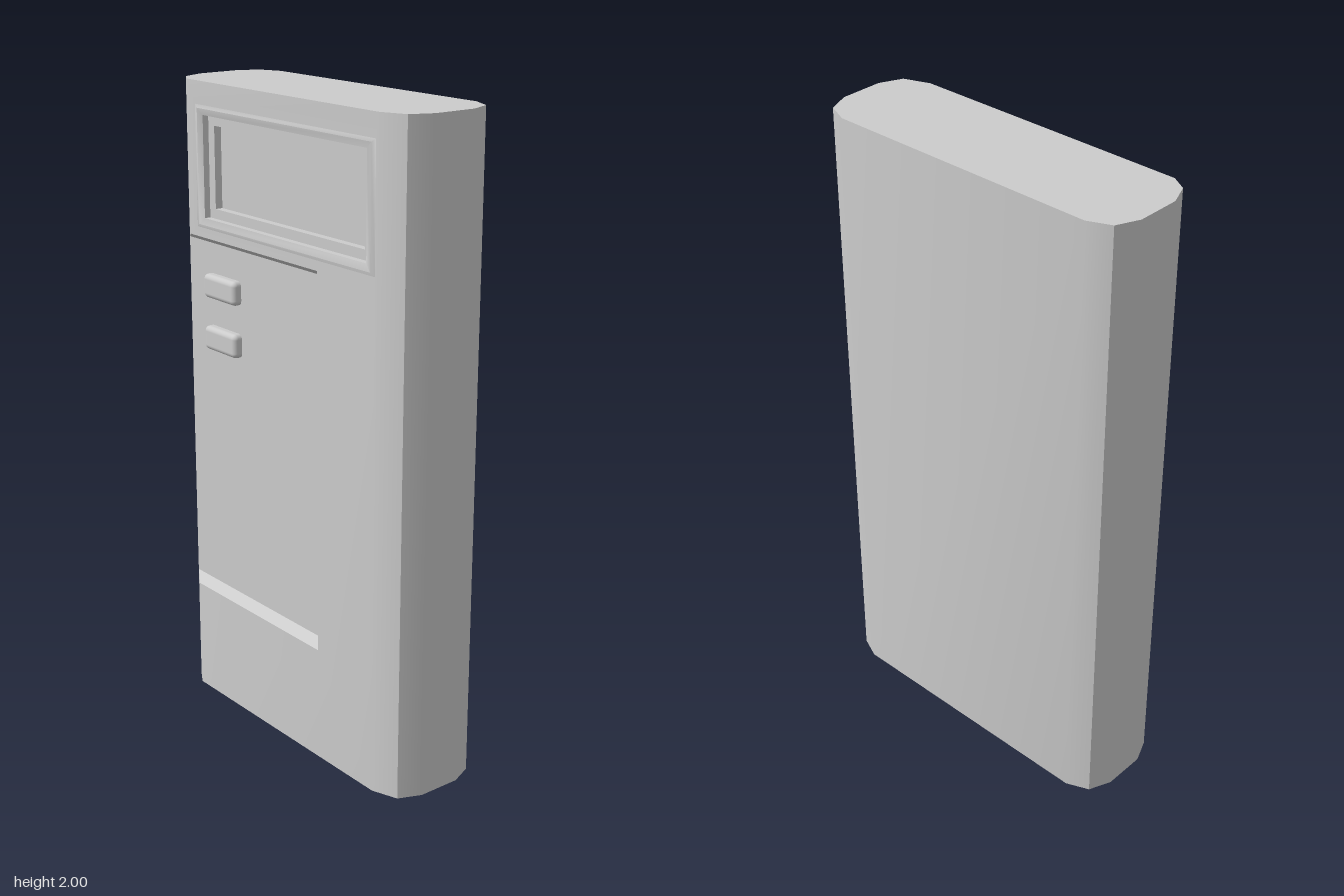
import * as THREE from 'three';
import { mergeGeometries, toCreasedNormals } from 'three/addons/utils/BufferGeometryUtils.js';
import { RoundedBoxGeometry } from 'three/addons/geometries/RoundedBoxGeometry.js';

const H = 2, FRONT = 0.165, FLOOR = 0.135;
const material = new THREE.MeshStandardMaterial({ color: 0xcccccc });

// Four corners each, counter-clockwise seen from outside
function quads(list) {
  const pos = [];
  for (const [a, b, c, d] of list) pos.push(...a, ...b, ...c, ...a, ...c, ...d);
  const g = new THREE.BufferGeometry();
  g.setAttribute('position', new THREE.Float32BufferAttribute(pos, 3));
  return g;
}

function flat(points, hole) {
  const toVectors = (pts) => pts.map(([x, y]) => new THREE.Vector2(x, y));
  const shape = new THREE.Shape(toVectors(points));
  if (hole) shape.holes.push(new THREE.Path(toVectors(hole)));
  const g = new THREE.ShapeGeometry(shape).toNonIndexed();
  g.deleteAttribute('uv');
  g.deleteAttribute('normal');
  return g;
}

const rect = (x0, x1, y0, y1) => [[x0, y0], [x1, y0], [x1, y1], [x0, y1]];

function addMesh(group, geometry, name) {
  const mesh = new THREE.Mesh(geometry, material);
  mesh.name = name;
  group.add(mesh);
  return mesh;
}

export function createModel() {
  const group = new THREE.Group();
  group.name = 'handheldDevice';

  // Horizontal section (x, z), from the front right round the back to the front left
  const section = [
    [0.43, FRONT], [0.51, FLOOR], [0.54, 0.065], [0.54, -0.07], [0.51, -0.14], [0.44, -0.17],
    [-0.44, -0.17], [-0.51, -0.14], [-0.54, -0.07], [-0.54, 0.065], [-0.51, FLOOR],
  ];
  const walls = [];
  for (let i = 0; i < section.length - 1; i++) {
    const [ax, az] = section[i], [bx, bz] = section[i + 1];
    walls.push([[ax, 0, az], [bx, 0, bz], [bx, H, bz], [ax, H, az]]);
  }

  // Chamfer beside the front face, interrupted by the open panel recess
  const panel = { x: 0.17, xIn: 0.14, y0: 0.36, y0In: 0.385, y1: 1.53, y1In: 1.51 };
  const L = -0.46, E = -0.51;
  walls.push(
    [[E, 0, FLOOR], [L, 0, FRONT], [L, panel.y0, FRONT], [E, panel.y0In, FLOOR]],
    [[E, panel.y1In, FLOOR], [L, panel.y1, FRONT], [L, H, FRONT], [E, H, FLOOR]],
  );

  // Front face with a notch for the panel and a hole for the display
  const front = flat([
    [L, 0], [0.43, 0], [0.43, H], [L, H],
    [L, panel.y1], [panel.x, panel.y1], [panel.x, panel.y0], [L, panel.y0],
  ], rect(-0.42, 0.42, 1.56, 1.93)).translate(0, 0, FRONT);

  // End caps
  const outline = [...section, [L, FRONT]];
  const top = flat(outline.map(([x, z]) => [x, -z])).rotateX(-Math.PI / 2).translate(0, H, 0);
  const bottom = flat(outline).rotateX(Math.PI / 2);
  const shell = mergeGeometries([quads(walls), front, top, bottom]);
  addMesh(group, toCreasedNormals(shell, 0.6), 'body');

  // Sunken control panel with sloping borders, open at the side
  const f0 = [E, panel.y0In, FLOOR], f1 = [panel.xIn, panel.y0In, FLOOR];
  const f2 = [panel.xIn, panel.y1In, FLOOR], f3 = [E, panel.y1In, FLOOR];
  const o0 = [L, panel.y0, FRONT], o1 = [panel.x, panel.y0, FRONT];
  const o2 = [panel.x, panel.y1, FRONT], o3 = [L, panel.y1, FRONT];
  const recess = quads([[f0, f1, f2, f3], [o0, o1, f1, f0], [o1, o2, f2, f1], [o2, o3, f3, f2]]);
  addMesh(group, toCreasedNormals(recess, 0.5), 'controlPanel');

  // Display: low raised lip, then two steps down to the screen
  const rings = [
    [-0.42, 0.42, 1.56, 1.93, FRONT],
    [-0.405, 0.405, 1.57, 1.92, 0.169],
    [-0.385, 0.38, 1.59, 1.90, 0.162],
    [-0.385, 0.38, 1.59, 1.90, 0.142],
    [-0.355, 0.35, 1.62, 1.87, 0.142],
    [-0.355, 0.35, 1.62, 1.87, 0.118],
  ].map(([x0, x1, y0, y1, z]) => rect(x0, x1, y0, y1).map(([x, y]) => [x, y, z]));
  const frame = [];
  for (let r = 0; r < rings.length - 1; r++) {
    for (let i = 0; i < 4; i++) {
      const j = (i + 1) % 4;
      frame.push([rings[r][i], rings[r][j], rings[r + 1][j], rings[r + 1][i]]);
    }
  }
  addMesh(group, toCreasedNormals(quads(frame), 0.5), 'displayFrame');
  addMesh(group, toCreasedNormals(quads([rings[5]]), 0.5), 'screen');

  // Two push buttons
  [1.378, 1.213].forEach((y, i) => {
    const button = addMesh(group, new RoundedBoxGeometry(0.165, 0.075, 0.056, 3, 0.016), `button${i + 1}`);
    button.position.set(-0.323, y, FLOOR);
  });

  return group;
}
